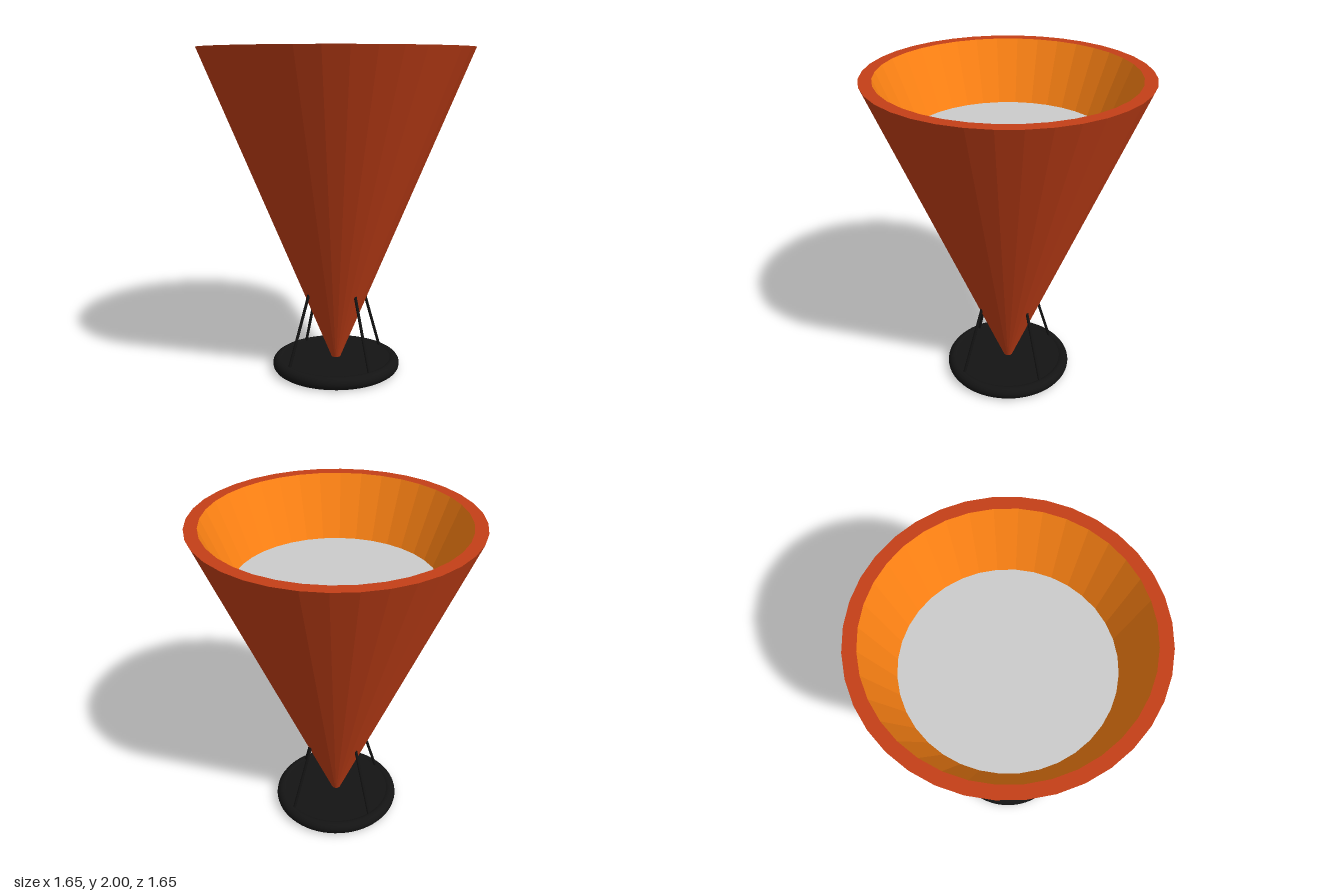
import * as THREE from 'three';

const SIDES = 36;

function paint(color, options = {}) {
  return new THREE.MeshStandardMaterial({ color, ...options });
}

function part(name, geometry, material) {
  const mesh = new THREE.Mesh(geometry, material);
  mesh.name = name;
  return mesh;
}

// Cylinder running between two points
function rod(name, from, to, radius, material) {
  const dir = to.clone().sub(from);
  const mesh = part(name, new THREE.CylinderGeometry(radius, radius, dir.length(), 12), material);
  mesh.position.copy(from).add(to).multiplyScalar(0.5);
  mesh.quaternion.setFromUnitVectors(new THREE.Vector3(0, 1, 0), dir.normalize());
  return mesh;
}

export function createModel() {
  const model = new THREE.Group();
  const rust = paint(0xc43f17, { flatShading: true, side: THREE.DoubleSide });
  const orange = paint(0xff8314, { flatShading: true, side: THREE.DoubleSide });
  const black = paint(0x141414);
  const grey = paint(0xcccccc, { side: THREE.DoubleSide });

  // Outer cone, tip resting on the base
  const cone = part('coneShell', new THREE.CylinderGeometry(0.824, 0.022, 1.94, SIDES, 1, true), rust);
  cone.position.y = 1.03;
  model.add(cone);

  // Flat rim around the opening
  const rim = part('rim', new THREE.RingGeometry(0.75, 0.824, SIDES), rust);
  rim.rotation.x = -Math.PI / 2;
  rim.position.y = 2;
  model.add(rim);

  // Inner wall down to the floor of the bowl
  const liner = part('innerWall', new THREE.CylinderGeometry(0.75, 0.597, 0.37, SIDES, 1, true), orange);
  liner.position.y = 1.815;
  model.add(liner);

  const floor = part('bowlFloor', new THREE.CircleGeometry(0.597, SIDES), grey);
  floor.rotation.x = -Math.PI / 2;
  floor.position.y = 1.63;
  model.add(floor);

  // Round base: a disc with a rounded edge
  const base = new THREE.Group();
  base.name = 'base';
  const disc = part('baseDisc', new THREE.CylinderGeometry(0.36, 0.36, 0.07, 48), black);
  const edge = part('baseEdge', new THREE.TorusGeometry(0.36, 0.04, 16, 64), black);
  edge.rotation.x = Math.PI / 2;
  disc.position.y = edge.position.y = 0.04;
  base.add(disc, edge);
  model.add(base);

  // Four struts leaning in from the base to the cone
  for (let i = 0; i < 4; i++) {
    const a = (i * Math.PI) / 2;
    const at = (r, y) => new THREE.Vector3(r * Math.cos(a), y, r * Math.sin(a));
    model.add(rod(`strut${i + 1}`, at(0.355, 0.05), at(0.203, 0.515), 0.009, black));
  }

  return model;
}
